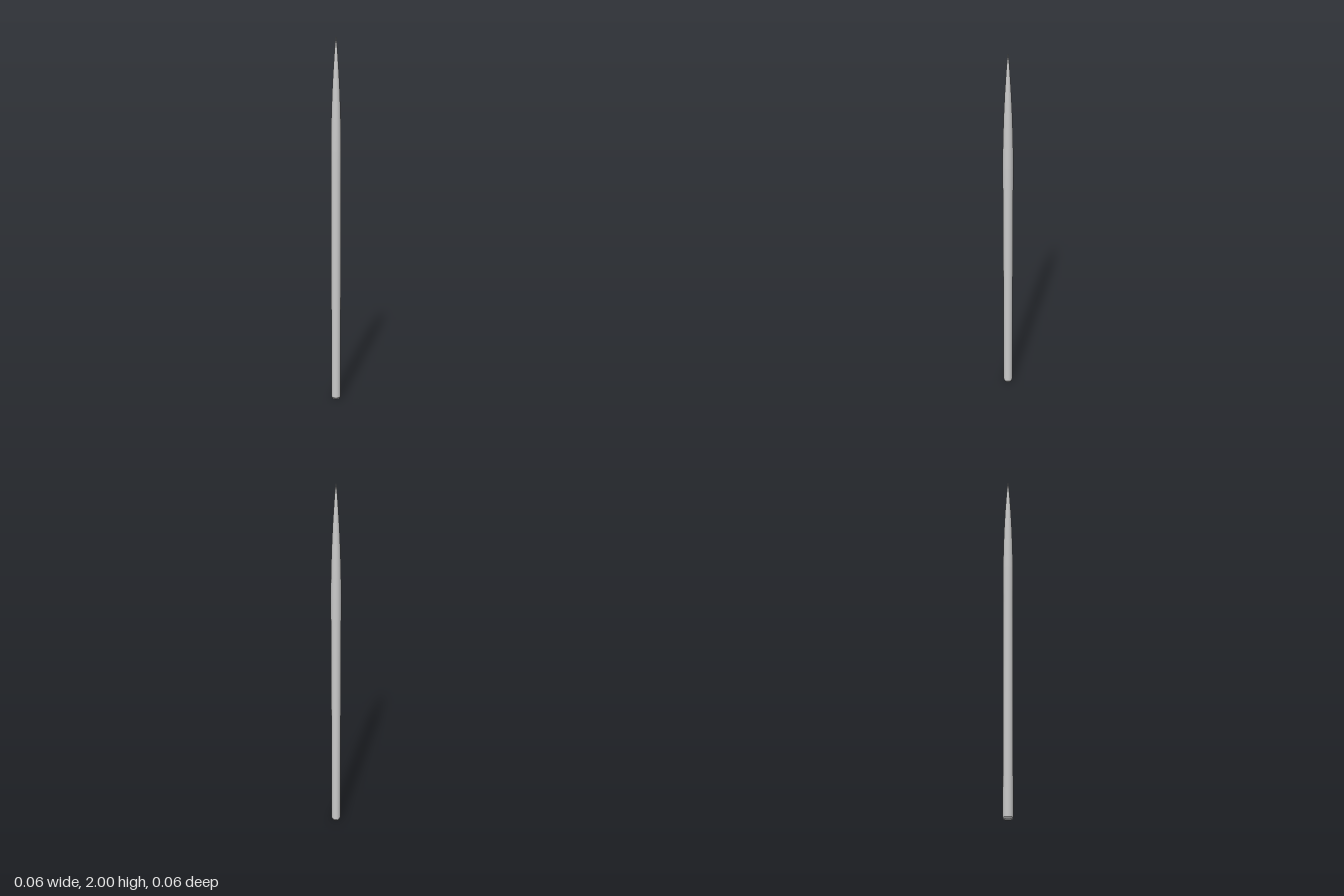
import * as THREE from 'three';

export function createModel() {
  const model = new THREE.Group();
  const material = new THREE.MeshStandardMaterial({ color: 0xcccccc });

  // Turn a [radius, height] profile, listed from the bottom up, around y
  function turned(name, profile) {
    const points = profile.map(([r, y]) => new THREE.Vector2(r, y));
    const mesh = new THREE.Mesh(new THREE.LatheGeometry(points, 20), material);
    mesh.name = name;
    model.add(mesh);
  }

  // Butt end with a small chamfer
  turned('buttEnd', [[0, 0], [0.023, 0], [0.026, 0.01]]);

  // Long shaft, swelling very slightly towards the head
  turned('shaft', [[0.026, 0.01], [0.0265, 0.6], [0.027, 1.22], [0.028, 1.3], [0.028, 1.4]]);

  // Curved taper to a sharp point
  turned('point', [
    [0.028, 1.4], [0.027, 1.5], [0.0245, 1.6], [0.021, 1.7],
    [0.016, 1.8], [0.0095, 1.9], [0.005, 1.96], [0, 2],
  ]);

  return model;
}
